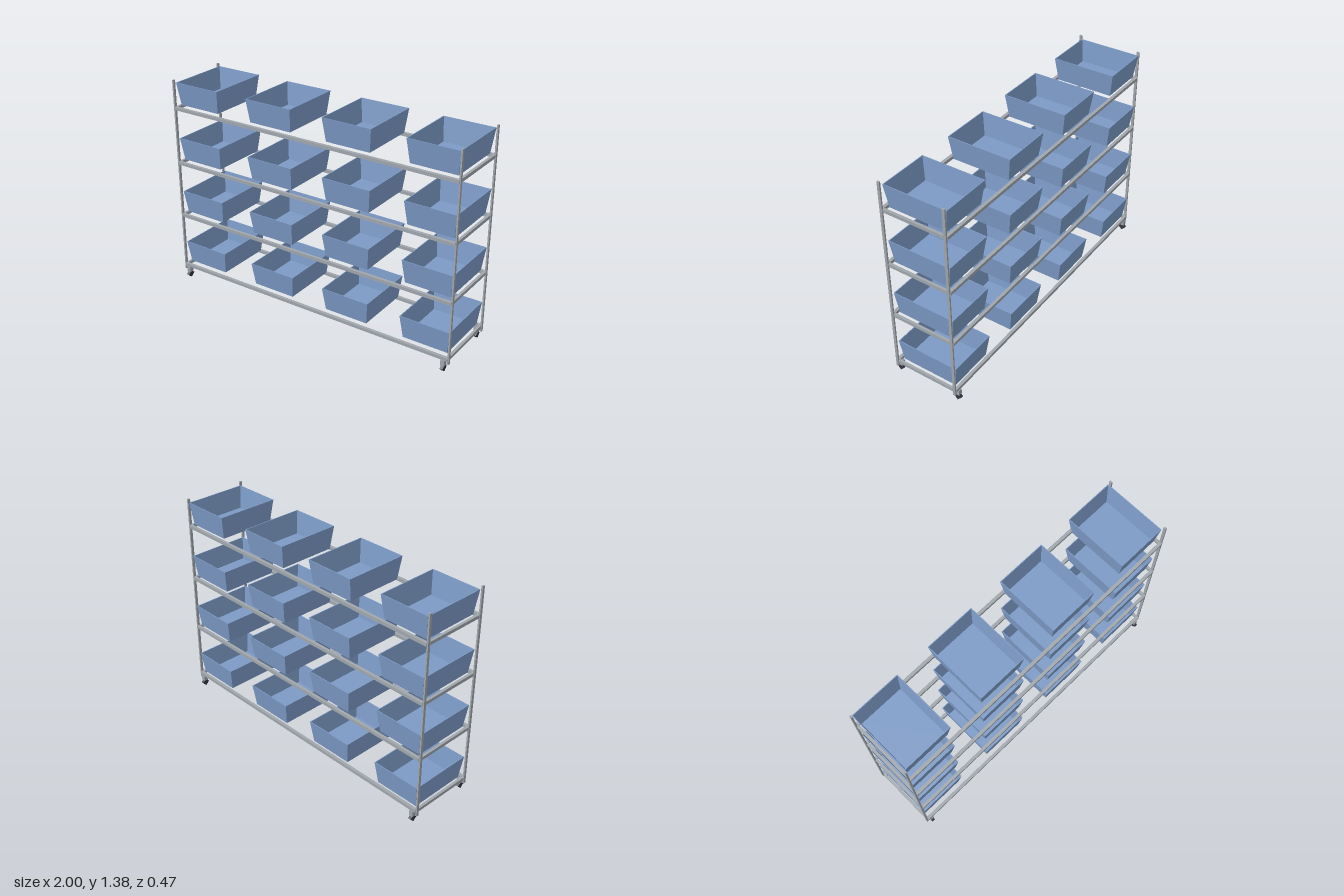
import * as THREE from 'three';

const frameMat = new THREE.MeshStandardMaterial({ name: 'frame grey', color: 0xa0a6ac });
const binMat = new THREE.MeshStandardMaterial({ name: 'bin blue', color: 0x7c9ac6 });
const wheelMat = new THREE.MeshStandardMaterial({ name: 'wheel black', color: 0x353540 });

const SHELF_TOPS = [0.099, 0.468, 0.838, 1.207];
const BIN_XS = [-0.825, -0.277, 0.271, 0.819];

// Open tapered bin, standing on y = 0, from rectangular rings: outside up, over the rim, inside down
function binGeometry() {
  const wall = 0.005, height = 0.148;
  const ring = (hx, y, hz) =>
    [[hx, y, hz], [hx, y, -hz], [-hx, y, -hz], [-hx, y, hz]];
  const rings = [
    ring(0.147, 0, 0.187),
    ring(0.163, height, 0.207),
    ring(0.163 - wall, height, 0.207 - wall),
    ring(0.147 - wall, wall, 0.187 - wall),
  ];
  const pos = [];
  const quad = (a, b, c, d) => pos.push(...a, ...b, ...c, ...a, ...c, ...d);
  for (let r = 0; r < 3; r++) {
    for (let i = 0; i < 4; i++) {
      const j = (i + 1) % 4;
      quad(rings[r][i], rings[r][j], rings[r + 1][j], rings[r + 1][i]);
    }
  }
  quad(...rings[3]); // floor
  quad(...[...rings[0]].reverse()); // underside
  const geo = new THREE.BufferGeometry();
  geo.setAttribute('position', new THREE.Float32BufferAttribute(pos, 3));
  geo.computeVertexNormals();
  return geo;
}

export function createModel() {
  const model = new THREE.Group();
  model.name = 'binTrolley';

  const add = (name, geo, mat, x, y, z) => {
    const mesh = new THREE.Mesh(geo, mat);
    mesh.name = name;
    mesh.position.set(x, y, z);
    model.add(mesh);
    return mesh;
  };

  const post = new THREE.BoxGeometry(0.01, 1.324, 0.017);
  const longRail = new THREE.BoxGeometry(1.984, 0.02, 0.02);
  const endRail = new THREE.BoxGeometry(0.017, 0.02, 0.406);
  const bracket = new THREE.BoxGeometry(0.026, 0.038, 0.03);
  const wheel = new THREE.CylinderGeometry(0.025, 0.025, 0.02, 4).toNonIndexed();
  wheel.rotateZ(Math.PI / 2);
  wheel.computeVertexNormals();
  const bin = binGeometry();

  // Corner posts and casters
  for (const sx of [-1, 1]) {
    for (const sz of [-1, 1]) {
      add('cornerPost', post, frameMat, sx * 0.995, 0.718, sz * 0.2095);
      add('casterBracket', bracket, frameMat, sx * 0.963, 0.06, sz * 0.211);
      add('casterWheel', wheel, wheelMat, sx * 0.963, 0.025, sz * 0.211);
    }
  }

  // Shelves: two long rails, two end rails and a row of bins
  for (const top of SHELF_TOPS) {
    for (const s of [-1, 1]) {
      add('longRail', longRail, frameMat, 0, top - 0.01, s * 0.2125);
      add('endRail', endRail, frameMat, s * 0.9875, top - 0.01, 0);
    }
    for (const x of BIN_XS) add('bin', bin, binMat, x, top + 0.005, -0.01);
  }

  return model;
}
